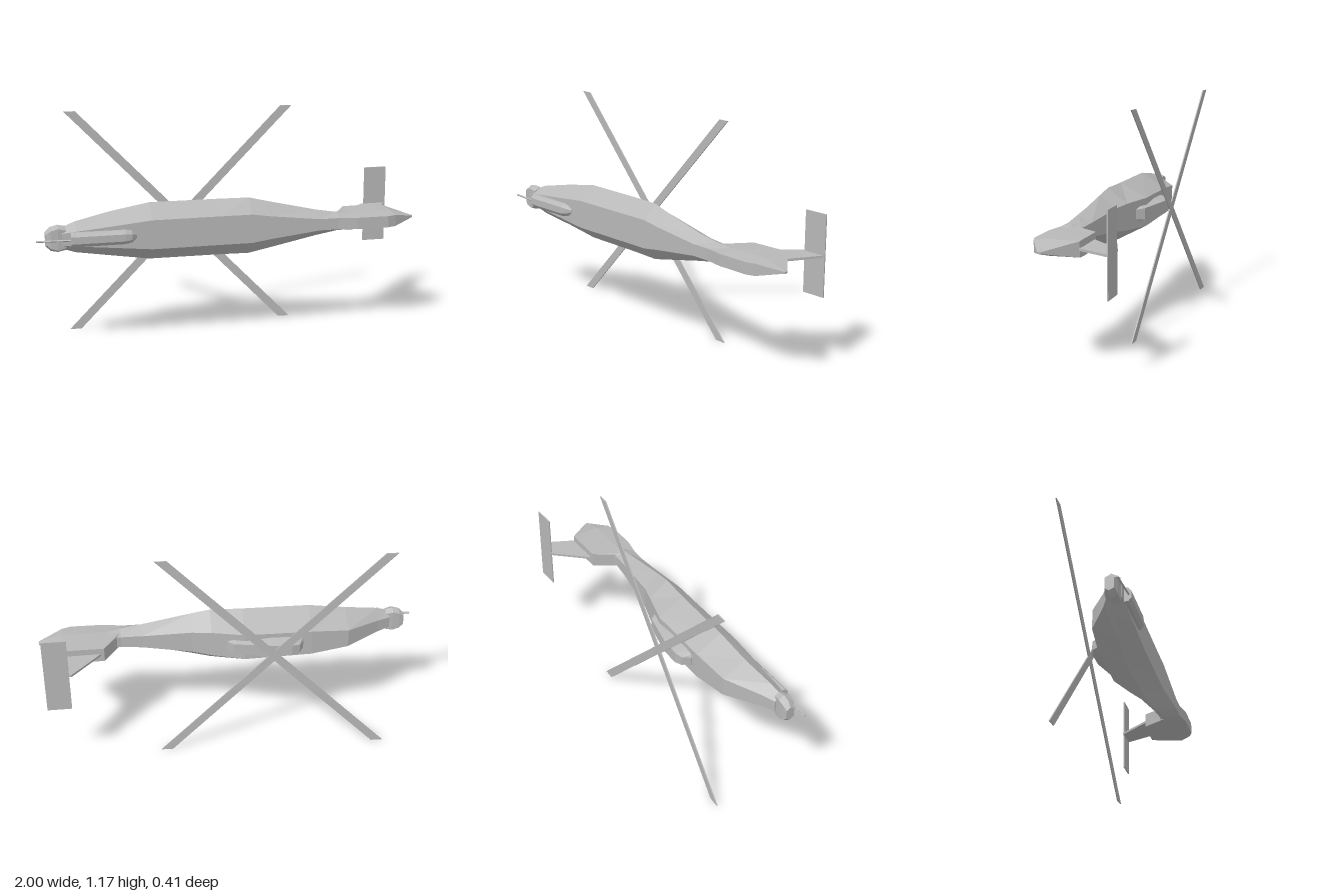
import * as THREE from 'three';

const grey = new THREE.MeshStandardMaterial({ color: 0xb8b8b8, flatShading: true });
grey.name = 'airframe grey';
const AXIS = 0.585; // height of the symmetry plane; the craft lies on its side, roof towards -z

// Loft through sections along x: [x, then pairs of (z, half width) from roof to belly]
function loft(name, sections) {
  const n = sections[0].length - 1; // points round each ring
  const pos = [], idx = [];
  for (const [x, ...p] of sections) {
    const right = [], left = [];
    for (let i = 0; i < p.length; i += 2) {
      right.push([x, AXIS + p[i + 1], p[i]]);
      left.unshift([x, AXIS - p[i + 1], p[i]]);
    }
    for (const v of [...right, ...left]) pos.push(...v);
  }
  for (let s = 0; s < sections.length - 1; s++)
    for (let i = 0; i < n; i++) {
      const a = s * n + i, b = s * n + (i + 1) % n, c = a + n, d = b + n;
      idx.push(a, b, c, b, d, c);
    }
  const last = (sections.length - 1) * n;
  for (let i = 1; i < n - 1; i++) {
    idx.push(0, i + 1, i);
    idx.push(last, last + i, last + i + 1);
  }
  const indexed = new THREE.BufferGeometry();
  indexed.setAttribute('position', new THREE.Float32BufferAttribute(pos, 3));
  indexed.setIndex(idx);
  const g = indexed.toNonIndexed();
  g.computeVertexNormals();
  const mesh = new THREE.Mesh(g, grey);
  mesh.name = name;
  return mesh;
}

// Thin plate from outline points, thickness centred on its own plane
function plate(name, points, t) {
  const shape = new THREE.Shape(points.map(p => new THREE.Vector2(...p)));
  const g = new THREE.ExtrudeGeometry(shape, { depth: t, bevelEnabled: false });
  g.translate(0, 0, -t / 2);
  const mesh = new THREE.Mesh(g, grey);
  mesh.name = name;
  return mesh;
}

export function createModel() {
  const model = new THREE.Group();
  model.name = 'helicopter';

  // Six-sided fuselage: roof, widest edge, belly
  model.add(loft('fuselage', [
    [-0.87, 0.085, 0.03, 0.12, 0.055, 0.155, 0.03],
    [-0.80, 0.055, 0.035, 0.11, 0.08, 0.16, 0.038],
    [-0.62, -0.042, 0.05, 0.085, 0.115, 0.165, 0.055],
    [-0.42, -0.06, 0.07, 0.077, 0.148, 0.168, 0.075],
    [-0.07, -0.06, 0.075, 0.085, 0.148, 0.17, 0.075],
    [0.10, -0.01, 0.07, 0.095, 0.148, 0.172, 0.075],
    [0.20, 0.02, 0.06, 0.105, 0.125, 0.174, 0.06],
    [0.46, 0.055, 0.035, 0.12, 0.068, 0.176, 0.03],
    [0.57, 0.066, 0.03, 0.12, 0.05, 0.178, 0.03],
    [0.66, 0.05, 0.03, 0.11, 0.038, 0.18, 0.03],
  ]));

  // Faceted sensor nose
  model.add(loft('noseSensor', [
    [-0.95, 0.095, 0.025, 0.115, 0.038, 0.14, 0.025],
    [-0.925, 0.09, 0.045, 0.12, 0.062, 0.152, 0.045],
    [-0.89, 0.09, 0.055, 0.12, 0.07, 0.155, 0.055],
    [-0.85, 0.095, 0.045, 0.12, 0.062, 0.15, 0.045],
  ]));

  // Engine housing on the roof
  model.add(loft('engineHousing', [
    [-0.375, -0.05, 0.035, -0.065, 0.03],
    [-0.35, -0.105, 0.025, -0.05, 0.045],
    [-0.31, -0.118, 0.03, -0.05, 0.05],
    [-0.20, -0.113, 0.035, -0.05, 0.052],
    [-0.01, -0.07, 0.03, -0.01, 0.05],
    [0.03, -0.025, 0.025, 0.01, 0.04],
  ].map(s => s[0] === -0.375 ? [-0.375, -0.065, 0.02, -0.05, 0.035] : s)));

  // Gun pod and barrel under the chin
  model.add(loft('gunPod', [
    [-0.83, 0.15, 0.036, 0.178, 0.036, 0.193, 0.018],
    [-0.56, 0.15, 0.036, 0.178, 0.036, 0.196, 0.018],
    [-0.525, 0.15, 0.03, 0.175, 0.03, 0.19, 0.014],
    [-0.50, 0.15, 0.012, 0.165, 0.012, 0.17, 0.006],
  ]));
  const barrel = new THREE.Mesh(new THREE.CylinderGeometry(0.005, 0.005, 0.2, 6), grey);
  barrel.name = 'gunBarrel';
  barrel.rotation.z = Math.PI / 2;
  const gun = new THREE.Group();
  gun.name = 'gun';
  gun.add(barrel);
  gun.position.set(-0.9, AXIS, 0.174);
  gun.rotation.y = -0.09;
  model.add(gun);

  // Thick tail shroud tapering to a point
  model.add(loft('tailShroud', [
    [0.55, 0.125, 0.035, 0.14, 0.042, 0.176, 0.03],
    [0.66, -0.04, 0.038, 0.11, 0.04, 0.197, 0.03],
    [0.83, -0.042, 0.04, 0.11, 0.04, 0.2, 0.03],
    [0.875, -0.04, 0.038, 0.11, 0.04, 0.185, 0.03],
    [0.998, 0.1, 0.004, 0.11, 0.006, 0.118, 0.004],
  ]));

  // Swept fin, drawn in x and -z and turned into the symmetry plane
  const fin = plate('tailFin', [[0.66, 0.02], [0.83, 0.208], [0.96, 0.206], [0.87, 0.02]], 0.012);
  fin.rotation.x = -Math.PI / 2;
  fin.position.y = AXIS;
  model.add(fin);

  // Stabiliser across the top of the fin
  const stabiliser = new THREE.Mesh(new THREE.BoxGeometry(0.125, 0.415, 0.006), grey);
  stabiliser.name = 'stabiliser';
  stabiliser.position.set(0.905, 0.5875, -0.205);
  model.add(stabiliser);

  // Two crossed full-length blades on a tilted disc
  const rotor = new THREE.Group();
  rotor.name = 'rotor';
  for (const s of [1, -1]) {
    rotor.add(plate('rotorBlades',
      [[-0.6 * s, AXIS], [-0.54 * s, AXIS], [0.6 * s, -AXIS], [0.54 * s, -AXIS]], 0.006));
  }
  rotor.position.set(-0.21, AXIS, -0.155);
  rotor.rotation.y = -0.049;
  model.add(rotor);

  return model;
}
